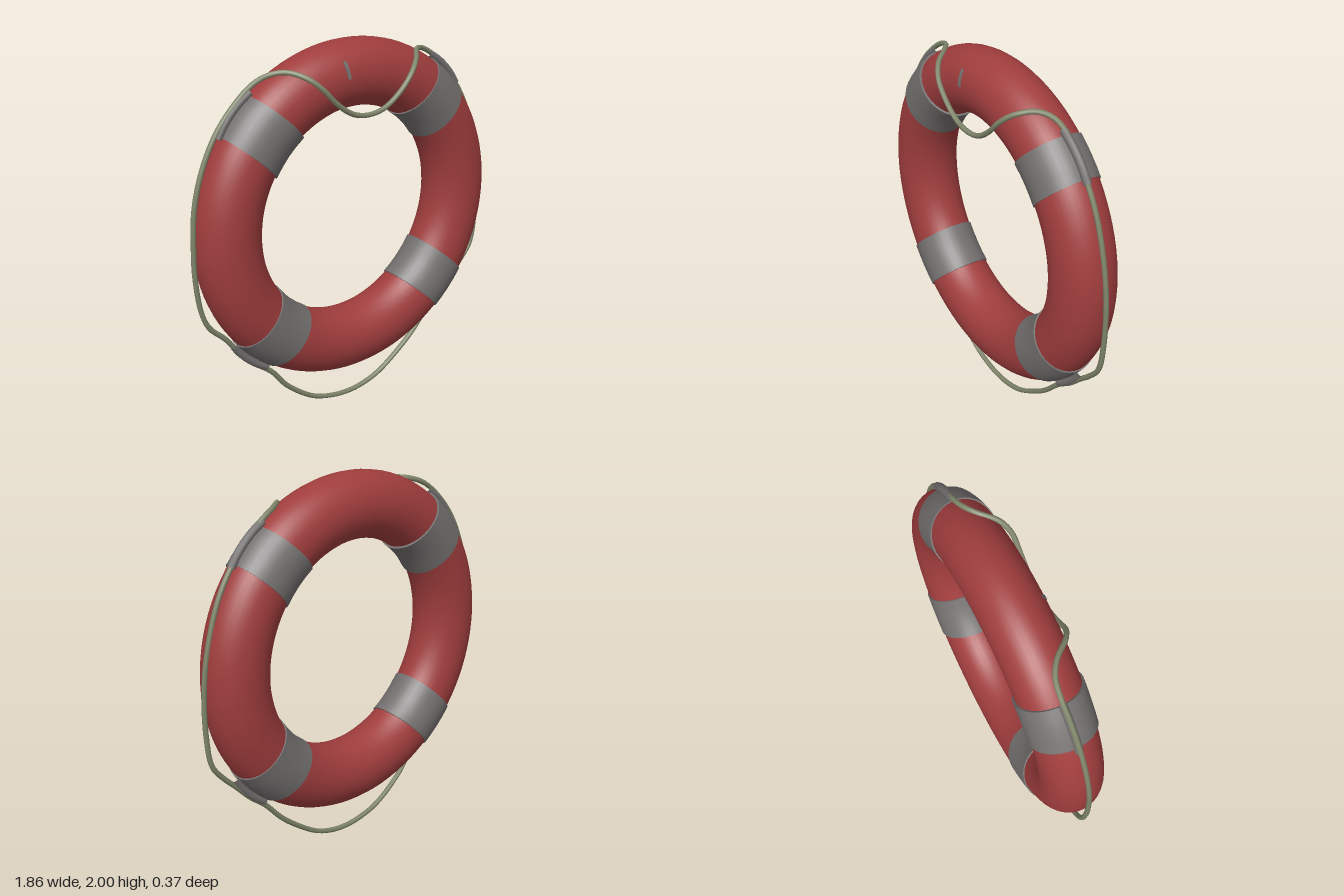
import * as THREE from 'three';
import { toCreasedNormals } from 'three/addons/utils/BufferGeometryUtils.js';

const CY = 1.1, CZ = -0.015;          // ring centre
const R = 0.728, A = 0.172, B = 0.16; // ring radius, section half-sizes (radial, depth)
const rad = THREE.MathUtils.degToRad;

// Grid of points over the ring: pointAt(i, j) gives [angle, section angle, lift]
function ringSurface(nu, nv, pointAt) {
  const pos = [], index = [];
  for (let i = 0; i <= nu; i++) {
    for (let j = 0; j <= nv; j++) {
      const [t, v, lift] = pointAt(i, j);
      const r = R + (A + lift) * Math.cos(v);
      pos.push(r * Math.cos(t), CY + r * Math.sin(t), CZ + (B + lift) * Math.sin(v));
      if (i < nu && j < nv) {
        const a = i * (nv + 1) + j, b = a + nv + 1;
        index.push(a, b, a + 1, b, b + 1, a + 1);
      }
    }
  }
  const g = new THREE.BufferGeometry();
  g.setAttribute('position', new THREE.Float32BufferAttribute(pos, 3));
  g.setIndex(index);
  return toCreasedNormals(g, rad(45));
}

// Strip of constant width wrapped over the ring, with a thin lip on both sides
function strip(centre, halfWidth, lift, v0, v1, nv) {
  const rows = [[-1, -0.004], [-1, lift], [-0.5, lift], [0, lift], [0.5, lift], [1, lift], [1, -0.004]];
  return ringSurface(rows.length - 1, nv, (i, j) => {
    const v = v0 + (v1 - v0) * j / nv;
    const [u, h] = rows[i];
    const r = R + A * Math.cos(v);
    return [rad(centre) + Math.asin(u * halfWidth / r), v, h];
  });
}

export function createModel() {
  const model = new THREE.Group();
  const red = new THREE.MeshStandardMaterial({ color: 0xa03d3d });
  red.name = 'red';
  const grey = new THREE.MeshStandardMaterial({ color: 0x73706f });
  grey.name = 'grey';
  const ropeGreen = new THREE.MeshStandardMaterial({ color: 0x7f856a });
  ropeGreen.name = 'ropeGreen';

  const add = (name, geometry, material) => {
    const mesh = new THREE.Mesh(geometry, material);
    mesh.name = name;
    model.add(mesh);
    return mesh;
  };

  // Buoyant ring
  add('ring', ringSurface(96, 36, (i, j) =>
    [i / 96 * Math.PI * 2, j / 36 * Math.PI * 2, 0]), red);

  // Four bands, each with a sleeve that holds the rope at the rim
  const bands = [
    ['upperLeft', 46, 0.11, 0.007],
    ['upperRight', 137, 0.118, 0.011],
    ['lowerRight', 227, 0.118, 0.007],
    ['lowerLeft', -43, 0.122, 0.007],
  ];
  for (const [name, angle, halfWidth, lift] of bands) {
    add(name + 'Band', strip(angle, halfWidth, lift, 0, Math.PI * 2, 36), grey);
    const arc = [];
    for (let k = -2; k <= 2; k++) {
      const t = rad(angle + k * 4.2);
      const r = 0.927 - 0.002 * k * k;
      arc.push(new THREE.Vector3(r * Math.cos(t), CY + r * Math.sin(t), CZ));
    }
    add(name + 'Sleeve', new THREE.TubeGeometry(new THREE.CatmullRomCurve3(arc), 16, 0.021, 10), grey);
  }

  // Small mark on the front near the top
  add('frontMark', strip(97.8, 0.009, 0.004, rad(54), rad(84), 6), grey);

  // Grab rope: slack at the bottom, draped over the front at the top
  const path = [
    [0, 1.65, 0.168], [0.1, 1.67, 0.168], [0.2, 1.74, 0.168], [0.27, 1.815, 0.162], [0.33, 1.87, 0.125],
    [0.4, 1.898, 0.045], [0.47, 1.888, 0], [0.54, 1.855], [0.64, 1.77], [0.73, 1.66], [0.81, 1.52],
    [0.88, 1.3], [0.912, 1.1], [0.913, 0.85], [0.887, 0.69], [0.82, 0.6], [0.75, 0.53],
    [0.665, 0.44], [0.57, 0.36], [0.47, 0.25], [0.39, 0.18], [0.22, 0.065], [0.1, 0.025],
    [0, 0.015], [-0.1, 0.025], [-0.23, 0.065], [-0.4, 0.19], [-0.49, 0.3], [-0.57, 0.365],
    [-0.66, 0.445], [-0.76, 0.575], [-0.85, 0.665], [-0.89, 0.76], [-0.915, 0.95], [-0.915, 1.1],
    [-0.9, 1.3], [-0.85, 1.48], [-0.77, 1.64], [-0.66, 1.77], [-0.55, 1.855], [-0.47, 1.888, 0],
    [-0.4, 1.898, 0.045], [-0.33, 1.87, 0.125], [-0.27, 1.815, 0.162], [-0.2, 1.74, 0.168], [-0.1, 1.67, 0.168],
  ].map(([x, y, z = CZ]) => new THREE.Vector3(x, y, z));
  add('grabRope', new THREE.TubeGeometry(new THREE.CatmullRomCurve3(path, true), 220, 0.0135, 8, true), ropeGreen);

  return model;
}
